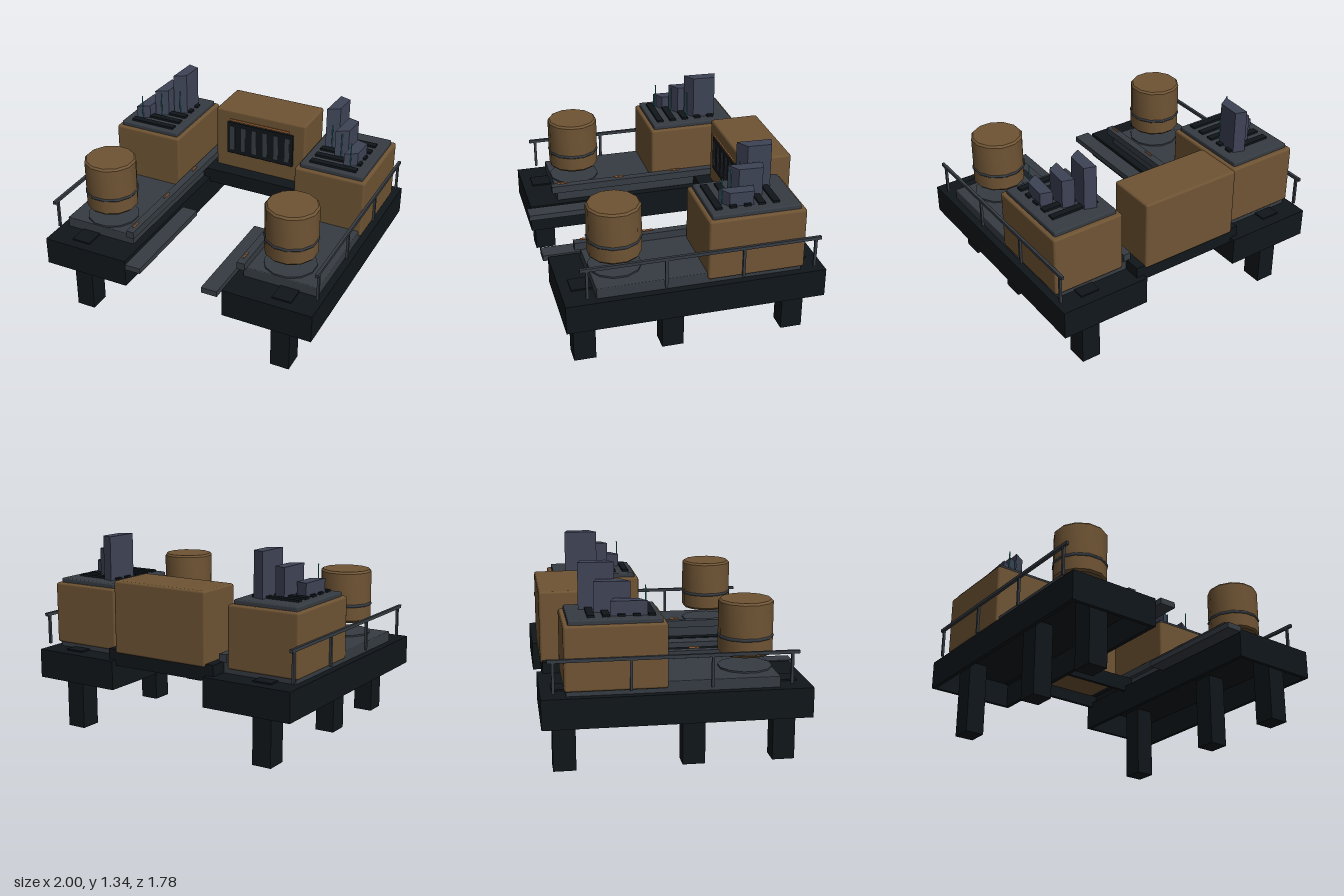
import * as THREE from 'three';
import { RoundedBoxGeometry } from 'three/addons/geometries/RoundedBoxGeometry.js';
import { toCreasedNormals } from 'three/addons/utils/BufferGeometryUtils.js';

const mat = (color) => new THREE.MeshStandardMaterial({ color });
const dark = mat(0x10161a);
const steel = mat(0x363c43);
const brown = mat(0x6f5434);
const finMat = mat(0x3e4356);
const orange = mat(0xc47a42);
const teal = mat(0x35a0a0);

function add(parent, name, geometry, material, x = 0, y = 0, z = 0) {
  const mesh = new THREE.Mesh(geometry, material);
  mesh.name = name;
  mesh.position.set(x, y, z);
  parent.add(mesh);
  return mesh;
}

// Box given by its extents; a bevel radius rounds the edges
function block(parent, name, material, [x0, x1], [y0, y1], [z0, z1], bevel = 0) {
  const w = Math.abs(x1 - x0), h = y1 - y0, d = z1 - z0;
  const geometry = bevel ? new RoundedBoxGeometry(w, h, d, 1, bevel) : new THREE.BoxGeometry(w, h, d);
  return add(parent, name, geometry, material, (x0 + x1) / 2, (y0 + y1) / 2, (z0 + z1) / 2);
}

// Slab with a skirt around it, open from below
function tray(parent, name, material, xs, [y0, y1], [z0, z1], wall, slab) {
  const a = Math.min(...xs), b = Math.max(...xs);
  const rect = (Path, m) => new Path([[a + m, -z1 + m], [b - m, -z1 + m], [b - m, -z0 - m], [a + m, -z0 - m]]
    .map(p => new THREE.Vector2(...p)));
  const outline = rect(THREE.Shape, 0);
  outline.holes.push(rect(THREE.Path, wall));
  const skirt = new THREE.ExtrudeGeometry(outline, { depth: y1 - slab - y0, bevelEnabled: false });
  skirt.rotateX(-Math.PI / 2);
  add(parent, name + 'Skirt', skirt, material, 0, y0, 0);
  block(parent, name + 'Slab', material, xs, [y1 - slab, y1], [z0, z1]);
}

// One wing of the station; s is +1 for the left wing, -1 for the right
function wing(s) {
  const g = new THREE.Group();
  g.name = s > 0 ? 'leftWing' : 'rightWing';
  const sx = (a, b) => [s * a, s * b];

  // Hollow platform, legs reaching through it, and deck
  tray(g, 'platform', dark, sx(0.365, 1), [0.345, 0.545], [-0.89, 0.86], 0.025, 0.025);
  for (const z of [0.715, 0.11, -0.74]) {
    block(g, 'leg', dark, sx(0.69, 0.825), [0, 0.555], [z - 0.075, z + 0.075]);
  }
  block(g, 'deck', steel, sx(0.42, 0.95), [0.54, 0.617], [-0.73, 0.65], 0.006);

  // Inner curb with thin marker lights above it
  block(g, 'curb', steel, sx(0.392, 0.447), [0.617, 0.67], [-0.74, 0.69]);
  for (const z of [0.61, 0.18, -0.25]) {
    block(g, 'markerLight', orange, sx(0.414, 0.422), [0.678, 0.688], [z - 0.035, z + 0.035]);
  }

  // Loading beam beside the platform
  block(g, 'loadingBeam', steel, sx(0.23, 0.345), [0.505, 0.545], [0.07, 0.89]);

  // Housing with a vented roof
  block(g, 'housing', brown, sx(0.455, 0.97), [0.575, 1.0], [-0.742, -0.082], 0.016);
  block(g, 'roofPanel', steel, sx(0.482, 0.943), [0.99, 1.03], [-0.71, -0.11], 0.01);
  for (let i = 0; i < 5; i++) {
    const z = -0.56 + i * 0.097;
    block(g, 'roofVent', dark, sx(0.54, 0.878), [1.02, 1.045], [z - 0.023, z + 0.023]);
  }

  // Stepped fins, skewed the same way on both wings, with a thin antenna in front of each
  [[0.607, -0.387, 1.335], [0.712, -0.295, 1.23], [0.817, -0.2, 1.125]].forEach(([x, z, top]) => {
    const shape = new THREE.Shape(
      [[-0.047, 0], [0.036, 0.05], [0.045, 0.21], [-0.035, 0.235]]
        .map(([dx, dz]) => new THREE.Vector2(s * x + dx, dz - z)));
    const fin = new THREE.ExtrudeGeometry(shape, { depth: top - 1.03, bevelEnabled: false });
    fin.rotateX(-Math.PI / 2);
    add(g, 'fin', fin, finMat, 0, 1.03, 0);
    add(g, 'antenna', new THREE.CylinderGeometry(0.004, 0.004, 0.18, 6), teal, s * x, 1.125, z - 0.007);
  });

  // Storage drum hovering over its pad
  const drum = new THREE.Group();
  drum.name = 'drum';
  drum.position.set(s * 0.682, 0, 0.472);
  drum.rotation.y = Math.PI / 12;
  g.add(drum);
  const profile = [[0, 0.715], [0.168, 0.715], [0.181, 0.73], [0.181, 1.063], [0.168, 1.077], [0, 1.077]];
  const body = new THREE.LatheGeometry(profile.map(p => new THREE.Vector2(...p)), 12);
  add(drum, 'drumBody', toCreasedNormals(body, 0.6), brown);
  const band = add(drum, 'drumBand', new THREE.TorusGeometry(0.176, 0.012, 6, 12), steel, 0, 0.835, 0);
  band.rotation.x = Math.PI / 2;
  add(drum, 'drumPad', new THREE.CylinderGeometry(0.18, 0.18, 0.02, 12), steel, 0, 0.618, 0);

  // Outer railing
  block(g, 'handrail', steel, sx(0.967, 0.987), [0.774, 0.796], [-0.845, 0.76]);
  for (const z of [0.715, 0.2, -0.32, -0.81]) {
    block(g, 'railPost', steel, sx(0.969, 0.985), [0.575, 0.78], [z - 0.009, z + 0.009]);
  }
  return g;
}

// Hollow bridge joining the wings, with the central unit on top
function bridge() {
  const g = new THREE.Group();
  g.name = 'bridge';
  tray(g, 'bridge', dark, [-0.42, 0.42], [0.508, 0.62], [-0.85, -0.4], 0.025, 0.02);
  block(g, 'centralUnit', brown, [-0.362, 0.358], [0.597, 1.09], [-0.862, -0.51], 0.016);
  block(g, 'grillePanel', dark, [-0.267, 0.267], [0.74, 1.0], [-0.52, -0.497], 0.006);
  for (let i = 0; i < 6; i++) {
    const x = -0.222 + i * 0.089;
    block(g, 'grilleSlat', steel, [x - 0.018, x + 0.018], [0.775, 0.97], [-0.5, -0.492]);
  }
  block(g, 'lightStrip', orange, [-0.24, 0.24], [1.02, 1.032], [-0.494, -0.486]);
  return g;
}

export function createModel() {
  const model = new THREE.Group();
  model.name = 'platformStation';
  model.add(wing(1), wing(-1), bridge());
  return model;
}
